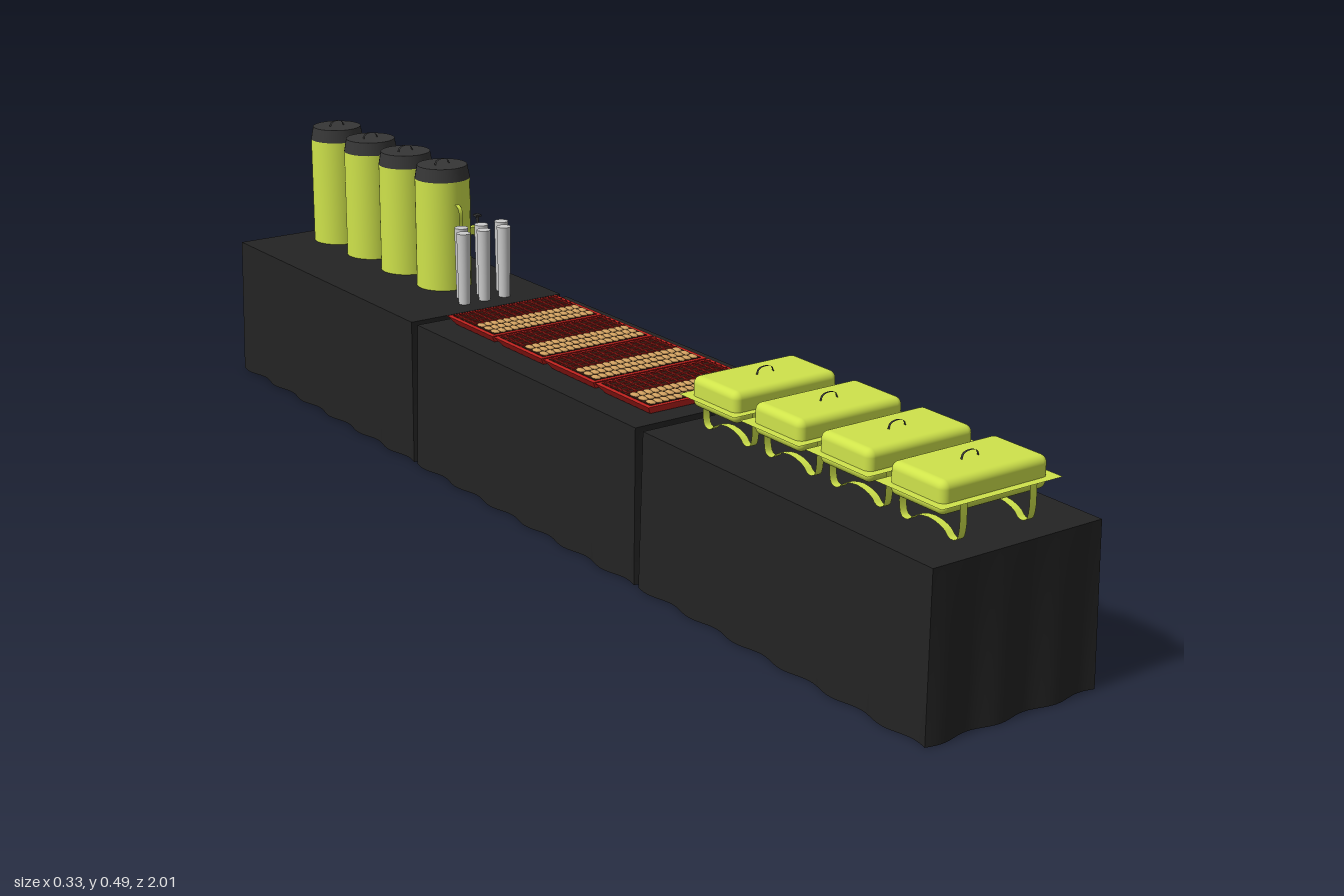
import * as THREE from 'three';
import { RoundedBoxGeometry } from 'three/addons/geometries/RoundedBoxGeometry.js';

const mat = (color, side = THREE.FrontSide) => new THREE.MeshStandardMaterial({ color, side });
const CLOTH = mat(0x232323, THREE.DoubleSide);
const LIME = mat(0xcfe34b);
const LIME_THIN = mat(0xcfe34b, THREE.DoubleSide);
const DARK = mat(0x363636);
const DARK_THIN = mat(0x303030, THREE.DoubleSide);
const RED = mat(0xc4221e);
const FOOD = mat(0x35180f);
const BUN = mat(0xd0a060);
const GREY = mat(0xcccccc);

const TOP = 0.256;   // table-top height
const HX = 0.155, HZ = 0.325;

function part(parent, name, geometry, material, x = 0, y = 0, z = 0) {
  const mesh = new THREE.Mesh(geometry, material);
  mesh.name = name;
  mesh.position.set(x, y, z);
  parent.add(mesh);
  return mesh;
}

function group(parent, name, x = 0, y = 0, z = 0) {
  const g = new THREE.Group();
  g.name = name;
  g.position.set(x, y, z);
  parent.add(g);
  return g;
}

// Thin bent strip: follows [u, y] points along z, with its width along x
function ribbon(points, width) {
  const curve = new THREE.CatmullRomCurve3(points.map(([z, y]) => new THREE.Vector3(0, y, z)), false, 'centripetal');
  const n = 24;
  const geo = new THREE.PlaneGeometry(width, 1, 1, n);
  const pos = geo.attributes.position;
  for (let i = 0; i < pos.count; i++) {
    const p = curve.getPoint(Math.floor(i / 2) / n);
    pos.setXYZ(i, pos.getX(i), p.y, p.z);
  }
  geo.computeVertexNormals();
  return geo;
}

// Box whose bottom is narrower than its top
function taperedBox(w, h, d, inset) {
  const geo = new THREE.BoxGeometry(w, h, d).toNonIndexed();
  const pos = geo.attributes.position;
  for (let i = 0; i < pos.count; i++) {
    if (pos.getY(i) < 0) {
      pos.setX(i, pos.getX(i) - Math.sign(pos.getX(i)) * inset);
      pos.setZ(i, pos.getZ(i) - Math.sign(pos.getZ(i)) * inset);
    }
  }
  geo.computeVertexNormals();
  return geo;
}

// One hanging side of a tablecloth, its folds deepening toward the hem
function drape(length, distance, folds) {
  const geo = new THREE.PlaneGeometry(length, TOP, folds * 12, 5);
  const pos = geo.attributes.position;
  for (let i = 0; i < pos.count; i++) {
    const drop = 0.5 - pos.getY(i) / TOP;
    const t = pos.getX(i) / length + 0.5;
    const flare = 0.004 * drop;
    pos.setX(i, pos.getX(i) + (2 * t - 1) * flare);
    pos.setZ(i, distance + flare + 0.0045 * drop * Math.sin(t * folds * Math.PI * 2));
  }
  geo.translate(0, TOP / 2, 0);
  geo.computeVertexNormals();
  return geo;
}

function addTable(parent, z) {
  const table = group(parent, 'table', 0, 0, z);
  part(table, 'tableTop', new THREE.PlaneGeometry(HX * 2, HZ * 2).rotateX(-Math.PI / 2), CLOTH, 0, TOP, 0);
  for (let i = 0; i < 4; i++) {
    const long = i % 2 === 1;
    const geo = drape(long ? HZ * 2 : HX * 2, long ? HX : HZ, long ? 6 : 3);
    part(table, 'clothSide', geo, CLOTH).rotation.y = i * Math.PI / 2;
  }
  return table;
}

function addChafingDish(parent, z) {
  const dish = group(parent, 'chafingDish', 0.001, 0, z);
  part(dish, 'domedLid', new RoundedBoxGeometry(0.196, 0.05, 0.11, 4, 0.012), LIME, 0, 0.322, 0);
  // Flat rim around the dish
  part(dish, 'rim', new THREE.PlaneGeometry(0.222, 0.136).rotateX(-Math.PI / 2), LIME_THIN, 0, 0.316, 0);
  // Bent strip legs running front to back
  const legPath = [[0.06, 0.316], [0.06, 0.275], [0.055, 0.26], [0.042, 0.258], [0.03, 0.268],
    [0, 0.275], [-0.03, 0.268], [-0.042, 0.258], [-0.055, 0.26], [-0.06, 0.275], [-0.06, 0.316]];
  for (const s of [-1, 1]) part(dish, 'legs', ribbon(legPath, 0.013), LIME_THIN, s * 0.064, 0, 0);
  const handle = ribbon([[-0.016, 0.346], [-0.012, 0.355], [0, 0.358], [0.012, 0.355], [0.016, 0.346]], 0.004);
  part(dish, 'lidHandle', handle, DARK_THIN).rotation.y = Math.PI / 2;
}

function addTray(parent, z) {
  const tray = group(parent, 'foodTray', 0.002, 0, z);
  part(tray, 'trayBody', taperedBox(0.226, 0.015, 0.146, 0.012), RED, 0, TOP + 0.0085, 0);
  part(tray, 'food', new THREE.BoxGeometry(0.21, 0.002, 0.132), FOOD, 0, 0.272, 0);
  // Grid of red bars over the back half
  for (let i = 0; i < 5; i++)
    part(tray, 'crossBar', new THREE.BoxGeometry(0.21, 0.003, 0.0022), RED, 0, 0.2735, -0.058 + i * 0.0145);
  for (let i = 0; i < 13; i++)
    part(tray, 'lengthBar', new THREE.BoxGeometry(0.0018, 0.003, 0.066), RED, -0.099 + i * 0.0165, 0.2735, -0.032);
  // Rows of small rolls in the front half
  const bun = new THREE.SphereGeometry(1, 8, 6).scale(0.0068, 0.0035, 0.0105);
  for (let row = 0; row < 3; row++)
    for (let i = 0; i < 16; i++)
      part(tray, 'roll', bun, BUN, -0.096 + i * 0.0128, 0.2735, 0.013 + row * 0.0215);
}

function addUrn(parent, z) {
  const urn = group(parent, 'drinkUrn', 0.0185, 0, z);
  part(urn, 'urnBody', new THREE.CylinderGeometry(0.05, 0.05, 0.2, 32), LIME, 0, TOP + 0.1, 0);
  part(urn, 'urnLid', new THREE.CylinderGeometry(0.0455, 0.05, 0.024, 32), DARK, 0, 0.468, 0);
  const handle = ribbon([[-0.015, 0.479], [-0.011, 0.487], [0, 0.49], [0.011, 0.487], [0.015, 0.479]], 0.006);
  part(urn, 'lidHandle', handle, DARK_THIN).rotation.y = Math.PI / 2;
  // Tap on the left side
  part(urn, 'tapPipe', new THREE.BoxGeometry(0.03, 0.014, 0.012), LIME, 0.06, 0.348, 0);
  part(urn, 'tapBlock', new THREE.BoxGeometry(0.014, 0.016, 0.024), LIME, 0.073, 0.345, 0);
  part(urn, 'tapStem', new THREE.CylinderGeometry(0.003, 0.003, 0.022, 8), DARK, 0.073, 0.363, 0);
  part(urn, 'tapLever', new THREE.BoxGeometry(0.01, 0.004, 0.012), DARK, 0.073, 0.374, 0);
  // Slim carrying handles front and back
  for (const s of [-1, 1]) {
    const loop = ribbon([[s * 0.049, 0.415], [s * 0.06, 0.408], [s * 0.062, 0.383], [s * 0.06, 0.358], [s * 0.049, 0.35]], 0.008);
    part(urn, 'sideHandle', loop, LIME_THIN);
  }
}

function addCups(parent) {
  const cups = group(parent, 'cupStacks');
  const geo = new THREE.CylinderGeometry(0.0125, 0.0105, 0.129, 16);
  for (const [x0, z] of [[-0.018, -0.392], [-0.001, -0.427]])
    for (let i = 0; i < 3; i++) part(cups, 'cupStack', geo, GREY, x0 + i * 0.042, TOP + 0.0645, z);
}

export function createModel() {
  const model = new THREE.Group();
  model.name = 'buffetLine';
  for (const z of [0.67, 0, -0.67]) addTable(model, z);
  for (let i = 0; i < 4; i++) {
    addChafingDish(model, 0.442 + i * 0.1495);
    addTray(model, -0.225 + i * 0.15);
    addUrn(model, -0.522 - i * 0.1307);
  }
  addCups(model);
  return model;
}
